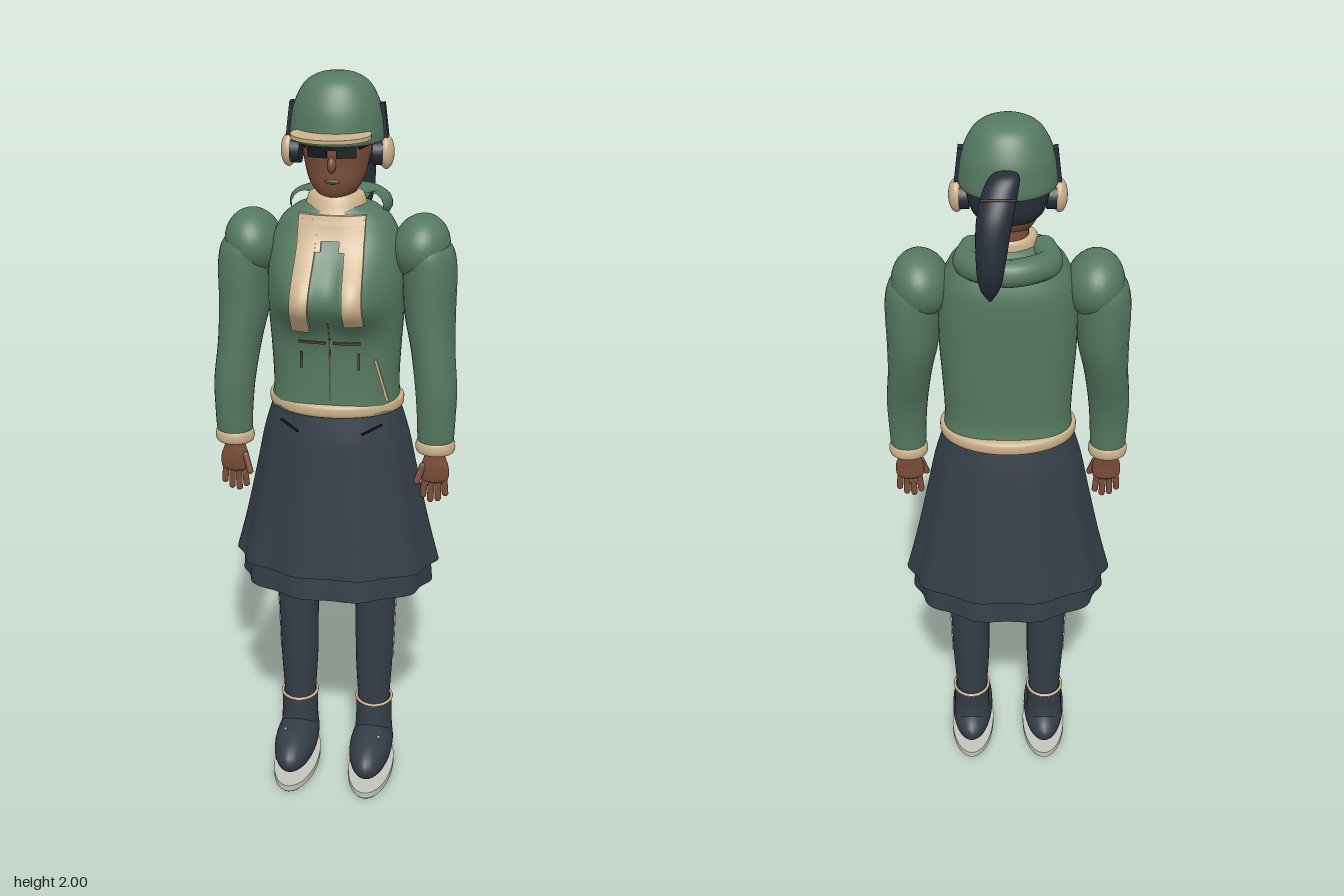
import * as THREE from 'three';

const mat = (name, color, side = THREE.FrontSide) => {
  const m = new THREE.MeshStandardMaterial({ color, side });
  m.name = name;
  return m;
};

// Catmull-Rom sample of table rows, u in 0..rows.length-1
function sample(rows, u) {
  const n = rows.length - 1;
  const i = Math.min(n - 1, Math.floor(u)), t = u - i;
  const [a, b, c, d] = [rows[Math.max(0, i - 1)], rows[i], rows[i + 1], rows[Math.min(n, i + 2)]];
  return b.map((v, k) => 0.5 * (2 * v + (c[k] - a[k]) * t + (2 * a[k] - 5 * v + 4 * c[k] - d[k]) * t * t
    + (3 * v - a[k] - 3 * c[k] + d[k]) * t ** 3));
}

// Closed rings stacked upward; point(v, angle) gives [x, y, z]
function loft(steps, seg, point) {
  const pos = [], idx = [];
  for (let i = 0; i <= steps; i++)
    for (let j = 0; j < seg; j++) {
      pos.push(...point(i / steps, j / seg * Math.PI * 2));
      if (i < steps) {
        const k = (j + 1) % seg, p = i * seg + j, q = i * seg + k;
        idx.push(p, p + seg, q, q, p + seg, q + seg);
      }
    }
  const g = new THREE.BufferGeometry();
  g.setAttribute('position', new THREE.Float32BufferAttribute(pos, 3));
  g.setIndex(idx);
  g.computeVertexNormals();
  return g;
}

// Elliptical body from rows of [y, centreX, centreZ, radiusX, radiusZ]
const limb = (rows, s = 1, seg = 28) => loft((rows.length - 1) * 5, seg, (v, a) => {
  const [y, cx, cz, rx, rz] = sample(rows, v * (rows.length - 1));
  return [s * cx + rx * Math.cos(a), y, cz + rz * Math.sin(a)];
});

// Torso table: [y, half width, back z, front z]
const TORSO = [[1.14, .172, -.125, .125], [1.2, .167, -.115, .122], [1.3, .171, -.12, .122], [1.4, .177, -.125, .128],
  [1.5, .177, -.13, .122], [1.58, .168, -.13, .1], [1.64, .14, -.11, .085], [1.67, .1, -.085, .075], [1.69, .05, -.05, .05]];
function torsoAt(y) {
  let i = 0;
  while (i < TORSO.length - 2 && y > TORSO[i + 1][0]) i++;
  return sample(TORSO, i + THREE.MathUtils.clamp((y - TORSO[i][0]) / (TORSO[i + 1][0] - TORSO[i][0]), 0, 1));
}
const bust = (x, y) => 0.088 * Math.exp(-(((Math.abs(x) - .07) / .09) ** 2) - ((y - 1.455) / (y > 1.455 ? .1 : .07)) ** 2);
function frontZ(x, y) {
  const [, hw, , zf] = torsoAt(y);
  const f = Math.max(0, 1 - Math.abs(x / hw) ** 2.4) ** (1 / 2.4);
  return f * (zf + bust(x, y));
}

export function createModel() {
  const model = new THREE.Group();
  const green = mat('jacket green', 0x557961);
  const tan = mat('trim tan', 0xccb28c);
  const dark = mat('skirt charcoal', 0x343d47, THREE.DoubleSide);
  const hair = mat('hair blue black', 0x272e38);
  const skin = mat('skin brown', 0x7b4e3a);
  const black = mat('glasses black', 0x14171b);
  const brown = mat('seam brown', 0x55483a);
  const pale = mat('sole grey', 0xc4c4be);

  const add = (name, geo, m, p = [0, 0, 0], scale = [1, 1, 1], r = [0, 0, 0]) => {
    const mesh = new THREE.Mesh(geo, m);
    mesh.name = name;
    mesh.position.set(...p);
    mesh.scale.set(...scale);
    mesh.rotation.set(...r);
    model.add(mesh);
    return mesh;
  };
  const ball = (name, m, p, s, r) => add(name, new THREE.SphereGeometry(1, 32, 20), m, p, s, r);
  // Thin panel laid over the chest; slant shifts its top sideways
  const panel = (name, m, x0, x1, y0, y1, lift, slant = 0) => {
    const g = new THREE.BoxGeometry(x1 - x0, y1 - y0, lift * 2, 8, 16, 1), p = g.attributes.position;
    for (let i = 0; i < p.count; i++) {
      const y = p.getY(i) + (y0 + y1) / 2;
      const x = p.getX(i) + (x0 + x1) / 2 + slant * (y - y0) / (y1 - y0);
      p.setXYZ(i, x, y, frontZ(x, y) + p.getZ(i));
    }
    g.computeVertexNormals();
    return add(name, g, m);
  };

  // Jacket body
  add('jacketBody', loft(50, 56, (v, a) => {
    const y = 1.14 + v * .55, [, hw, zb] = torsoAt(y);
    const c = Math.cos(a), s = Math.sin(a);
    const x = hw * Math.sign(c) * Math.abs(c) ** (2 / 2.4);
    return [x, y, s > 0 ? frontZ(x, y) : -Math.abs(zb) * Math.abs(s) ** (2 / 2.4)];
  }), green);
  add('waistBand', limb([[1.13, 0, -.003, .16, .118], [1.135, 0, -.003, .177, .134], [1.15, 0, -.003, .181, .138],
    [1.165, 0, -.003, .177, .134], [1.17, 0, -.003, .155, .115]], 1, 48), tan);

  // Collar, scarf ends and hood
  add('collar', limb([[1.6, 0, .01, .085, .08], [1.64, 0, .01, .09, .083], [1.67, 0, .005, .08, .075],
    [1.7, 0, 0, .07, .066], [1.705, 0, 0, .05, .05]]), tan);
  panel('collarFront', tan, -.085, .085, 1.6, 1.66, .012);
  for (const s of [-1, 1]) {
    panel('scarfEnd', tan, s * .07 - .024, s * .07 + .024, s < 0 ? 1.375 : 1.4, 1.65, .012, -s * .012);
    panel('scarfCorner', tan, s * .04 - .017, s * .04 + .017, 1.575, 1.61, .01);
    panel('pocketSeam', brown, s * .045 - .035, s * .045 + .035, 1.336, 1.343, .004);
    panel('pocketEdge', brown, s * .075 - .003, s * .075 + .003, 1.265, 1.31, .004);
  }
  panel('frontZip', brown, -.002, .002, 1.18, 1.4, .002);
  panel('drawCord', tan, .143, .149, 1.17, 1.29, .005, -.03);
  const hoodPath = new THREE.CatmullRomCurve3([[-.085, 1.665, -.01], [-.1, 1.66, -.085], [-.06, 1.665, -.135],
    [0, 1.665, -.155], [.06, 1.665, -.135], [.1, 1.66, -.085], [.085, 1.665, -.01]].map(p => new THREE.Vector3(...p)));
  add('hood', new THREE.TubeGeometry(hoodPath, 40, .034, 14), green);

  // Arms, hands, legs and shoes
  for (const s of [-1, 1]) {
    ball('shoulderPuff', green, [s * .218, 1.567, -.003], [.074, .085, .097], [0, 0, -s * .25]);
    add('sleeve', limb([[1.03, .272, .046, .035, .03], [1.05, .272, .046, .047, .042], [1.12, .272, .046, .051, .049],
      [1.2, .269, .04, .055, .06], [1.3, .257, .02, .058, .077], [1.4, .245, .004, .067, .09],
      [1.52, .24, 0, .071, .094], [1.58, .228, 0, .062, .08], [1.62, .215, 0, .01, .01]], s), green);
    add('cuff', limb([[1.02, .272, .046, .035, .03], [1.025, .272, .046, .049, .043], [1.04, .272, .046, .053, .047],
      [1.057, .272, .046, .049, .043], [1.062, .272, .046, .035, .03]], s), tan);
    add('palm', limb([[.935, .272, .052, .01, .006], [.945, .272, .052, .036, .017], [.98, .272, .053, .038, .021],
      [1.01, .272, .05, .028, .023], [1.04, .272, .048, .026, .023]], s), skin);
    for (let i = 0; i < 4; i++) {
      const len = [.05, .062, .058, .042][i];
      add('finger', new THREE.CapsuleGeometry(.0088, len, 4, 10), skin,
        [s * (.245 + i * .0185), .947 - len / 2, .052], [1, 1, 1], [0, 0, s * (i - 1.5) * .06]);
    }
    add('thumb', new THREE.CapsuleGeometry(.009, .045, 4, 10), skin, [s * .234, .965, .068], [1, 1, 1], [-.2, 0, -s * .3]);

    add('leg', limb([[.12, .11, -.002, .045, .05], [.22, .109, -.002, .046, .05], [.35, .109, -.003, .053, .058],
      [.5, .11, -.003, .056, .063], [.65, .11, -.003, .061, .068], [.85, .1, -.003, .065, .075]], s), dark);
    add('legStripe', new THREE.BoxGeometry(.006, .3, .006), pale, [s * .1665, .5, -.003], [1, 1, 1], [0, 0, -s * .03]);
    add('bootTop', limb([[.1, .11, 0, .055, .07], [.15, .11, 0, .052, .058], [.21, .11, -.003, .051, .056],
      [.215, .11, -.003, .04, .045]], s), dark);
    add('bootTrim', new THREE.TorusGeometry(.051, .004, 8, 28), tan, [s * .11, .215, -.003], [1, 1.1, 1], [Math.PI / 2, 0, 0]);
    ball('shoe', dark, [s * .11, .086, .052], [.061, .064, .157]);
    for (const z of [.075, .1]) ball('eyelet', tan, [s * .135, .138, z], [.005, .005, .005]);
    add('sole', new THREE.CylinderGeometry(1, 1, .018, 36), pale, [s * .11, .013, .052], [.064, 1, .158]);
  }
  for (const s of [-1, 1]) add('soleSeam', new THREE.CylinderGeometry(1, 1, .008, 36), black, [s * .11, .004, .052], [.06, 1, .154]);

  // Pleated skirt with a lower layer
  const SKIRT = [[.675, 0, -.01, .278, .178], [.8, 0, -.008, .248, .164], [.95, 0, -.005, .217, .146],
    [1.06, 0, -.002, .195, .134], [1.15, 0, 0, .168, .118]];
  const HEM = [[.61, 0, -.01, .262, .178], [.7, 0, -.01, .255, .168], [.85, 0, -.01, .225, .145]];
  for (const [name, rows] of [['skirt', SKIRT], ['skirtHem', HEM]])
    add(name, loft(24, 96, (v, a) => {
      const [y, cx, cz, rx, rz] = sample(rows, v * (rows.length - 1));
      const k = 1 + .03 * (1 - v) * Math.cos(a * 10);
      return [cx + rx * k * Math.cos(a), y, cz + rz * k * Math.sin(a)];
    }), dark);
  for (const s of [-1, 1])
    add('skirtPocket', new THREE.BoxGeometry(.06, .004, .006), black, [s * .11, 1.1, .11], [1, 1, 1], [0, s * .5, s * .35]);

  // Head and face
  add('neck', new THREE.CylinderGeometry(.05, .055, .14, 24), skin, [0, 1.68, -.01]);
  add('head', limb([[1.69, 0, .025, .01, .01], [1.7, 0, .02, .038, .045], [1.73, 0, .008, .066, .07],
    [1.78, 0, 0, .081, .082], [1.84, 0, -.003, .088, .09], [1.92, 0, -.005, .075, .08], [1.95, 0, -.005, .02, .02]]), skin);
  ball('nose', skin, [0, 1.785, .086], [.011, .02, .016]);
  ball('lips', brown, [0, 1.742, .077], [.02, .006, .005]);
  for (const s of [-1, 1]) {
    add('glassesLens', new THREE.BoxGeometry(.05, .03, .006), black, [s * .036, 1.818, .086], [1, 1, 1], [0, s * .25, 0]);
    add('glassesArm', new THREE.BoxGeometry(.005, .007, .09), black, [s * .078, 1.828, .038], [1, 1, 1], [0, -s * .25, 0]);
  }
  add('glassesBridge', new THREE.BoxGeometry(.03, .007, .006), black, [0, 1.825, .09]);

  // Hair and ponytail
  add('backHair', limb([[1.755, 0, -.045, .06, .04], [1.775, 0, -.04, .085, .062], [1.82, 0, -.035, .1, .075],
    [1.88, 0, -.03, .1, .08], [1.92, 0, -.02, .07, .06]]), hair);
  add('ponytail', limb([[1.6, .042, -.172, .003, .003], [1.64, .042, -.184, .024, .02], [1.7, .04, -.193, .034, .029],
    [1.8, .032, -.177, .042, .034], [1.865, .018, -.145, .042, .036], [1.9, .006, -.128, .032, .026], [1.91, .003, -.122, .003, .003]]), hair);
  add('hairTie', new THREE.TorusGeometry(.042, .003, 6, 28), brown, [.022, 1.85, -.154], [1, .87, 1], [Math.PI / 2 + .4, 0, 0]);

  // Cap
  const dome = new THREE.SplineCurve([[.109, 1.83], [.119, 1.838], [.118, 1.87], [.109, 1.92], [.083, 1.97],
    [.045, 1.994], [0, 2]].map(p => new THREE.Vector2(...p))).getPoints(36);
  dome[dome.length - 1].x = 0;
  add('capDome', new THREE.LatheGeometry([new THREE.Vector2(.08, 1.835), ...dome], 48), green, [0, 0, -.01], [1, 1, .98]);
  add('capBrim', new THREE.CylinderGeometry(1, 1, .01, 48), tan, [0, 1.86, .097], [.1, 1, .075], [.06, 0, 0]);

  // Headphones
  for (const s of [-1, 1]) {
    ball('earCup', tan, [s * .124, 1.803, -.01], [.02, .042, .034]);
    add('earPad', new THREE.CylinderGeometry(.033, .033, .025, 28), hair, [s * .105, 1.803, -.01], [1, 1, 1.15], [0, 0, Math.PI / 2]);
    add('headphoneArm', new THREE.BoxGeometry(.012, .1, .028), hair, [s * .119, 1.875, -.01], [1, 1, 1], [0, 0, s * .12]);
  }
  return model;
}
